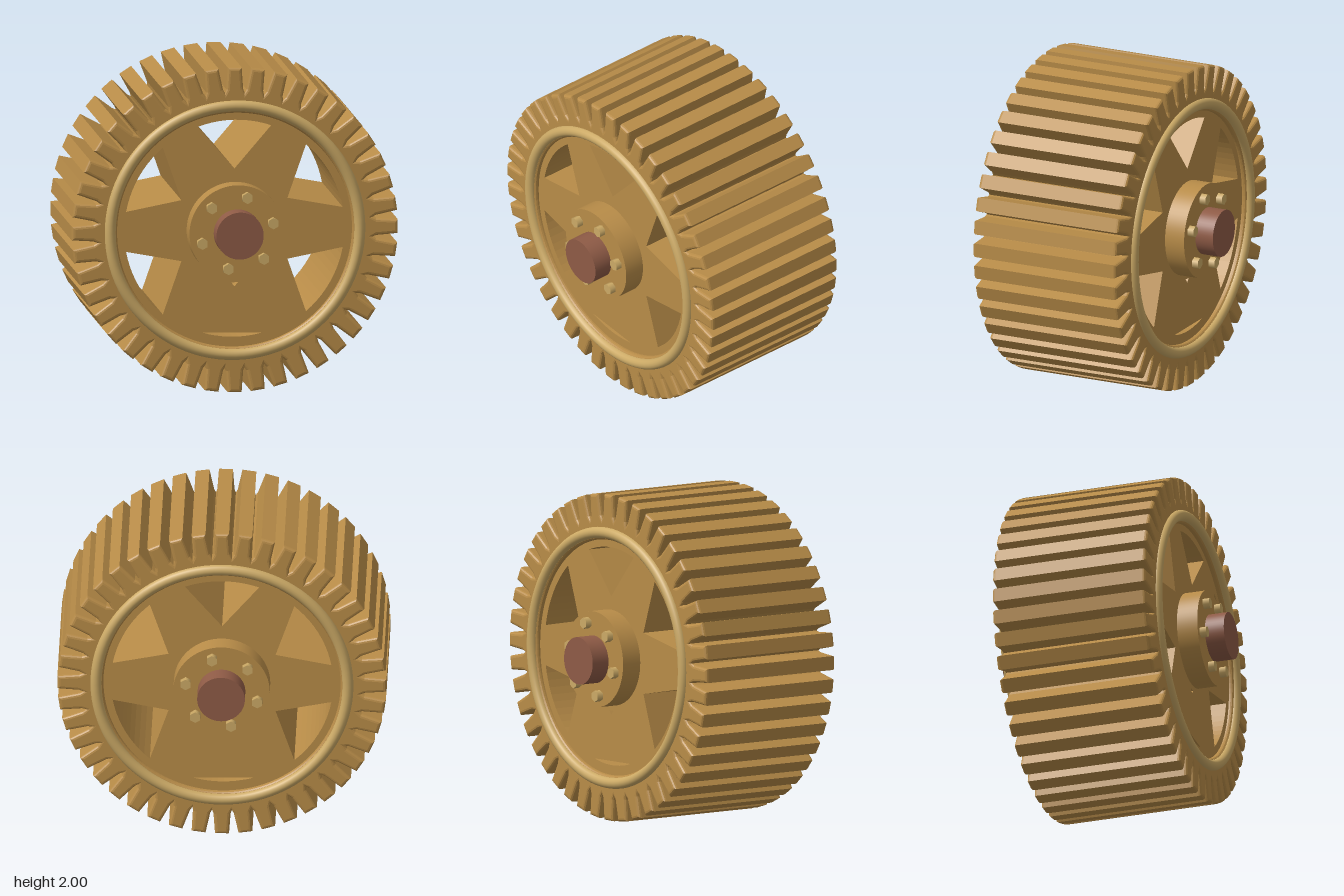
import * as THREE from 'three';

const material = (color, flatShading = false) => new THREE.MeshStandardMaterial({ color, flatShading });
const polar = (r, deg) => {
  const a = THREE.MathUtils.degToRad(deg);
  return new THREE.Vector2(r * Math.cos(a), r * Math.sin(a));
};

// Toothed outline: tapered teeth with rounded gap bottoms
function toothedShape(teeth) {
  const step = 360 / teeth;
  const profile = [[0.868, -3.45], [1, -2.45], [1, 2.45], [0.868, 3.45], [0.846, step / 2]];
  const points = [];
  for (let i = 0; i < teeth; i++) {
    for (const [r, a] of profile) points.push(polar(r, i * step + a));
  }
  return new THREE.Shape(points);
}

// Wedge window between two spokes, with a curved outer side
function windowPath(angle) {
  const points = [polar(0.375, angle)];
  for (let i = 0; i <= 10; i++) points.push(polar(0.675, angle - 19.5 + i * 3.9));
  return new THREE.Path(points);
}

export function createModel() {
  const model = new THREE.Group();
  const gold = material(0xb88c48);
  const pale = material(0xccaa66);
  const brown = material(0x8f5b46);

  const add = (name, geometry, mat, z = 0, parent = model) => {
    const mesh = new THREE.Mesh(geometry, mat);
    mesh.name = name;
    mesh.position.z = z;
    parent.add(mesh);
    return mesh;
  };
  const cylinder = (r, length, sides) =>
    new THREE.CylinderGeometry(r, r, length, sides).rotateX(Math.PI / 2);

  // Toothed rim with softened ends
  const rim = toothedShape(44);
  rim.holes.push(new THREE.Path().absarc(0, 0, 0.72, 0, Math.PI * 2, true));
  add('toothedRim', new THREE.ExtrudeGeometry(rim, {
    depth: 0.94, curveSegments: 64, bevelEnabled: true,
    bevelThickness: 0.02, bevelSize: 0.02, bevelOffset: -0.02, bevelSegments: 3,
  }), gold, -0.47);

  // Spoked web with five windows; the lowest bay is nearly closed
  const web = new THREE.Shape().absarc(0, 0, 0.745, 0, Math.PI * 2);
  for (const angle of [-30, 30, 90, 150, 210]) web.holes.push(windowPath(angle));
  const slit = [];
  for (let i = 0; i <= 10; i++) slit.push(polar(0.66, 253 + i * 3.2));
  slit.forEach((p, i) => { if (i > 0 && i < 10) p.y = Math.min(p.y, -0.642); });
  web.holes.push(new THREE.Path(slit));
  web.holes.push(new THREE.Path([
    new THREE.Vector2(-0.022, -0.325), new THREE.Vector2(0.022, -0.325), new THREE.Vector2(0, -0.35),
  ]));
  add('spokedWeb', new THREE.ExtrudeGeometry(web, {
    depth: 0.92, curveSegments: 64, bevelEnabled: false,
  }), gold, -0.46);

  // Shaft through the hub
  add('shaft', cylinder(0.145, 1.42, 48), brown);

  // Bead ring, hub flange and bolts on both faces
  for (const side of [1, -1]) {
    add('rimBead', new THREE.TorusGeometry(0.765, 0.034, 16, 96), pale, side * 0.487);
    add('hubFlange', cylinder(0.293, 0.15, 64), gold, side * 0.515);
    const bolts = new THREE.Group();
    bolts.name = 'hubBolts';
    for (let i = 0; i < 6; i++) {
      const bolt = add('bolt', cylinder(0.035, 0.06, 6), pale, side * 0.6, bolts);
      const p = polar(0.225, 15 + i * 60);
      bolt.position.x = p.x;
      bolt.position.y = p.y;
    }
    model.add(bolts);
  }

  model.position.y = 1;
  const group = new THREE.Group();
  group.name = 'gearWheel';
  group.add(model);
  return group;
}
